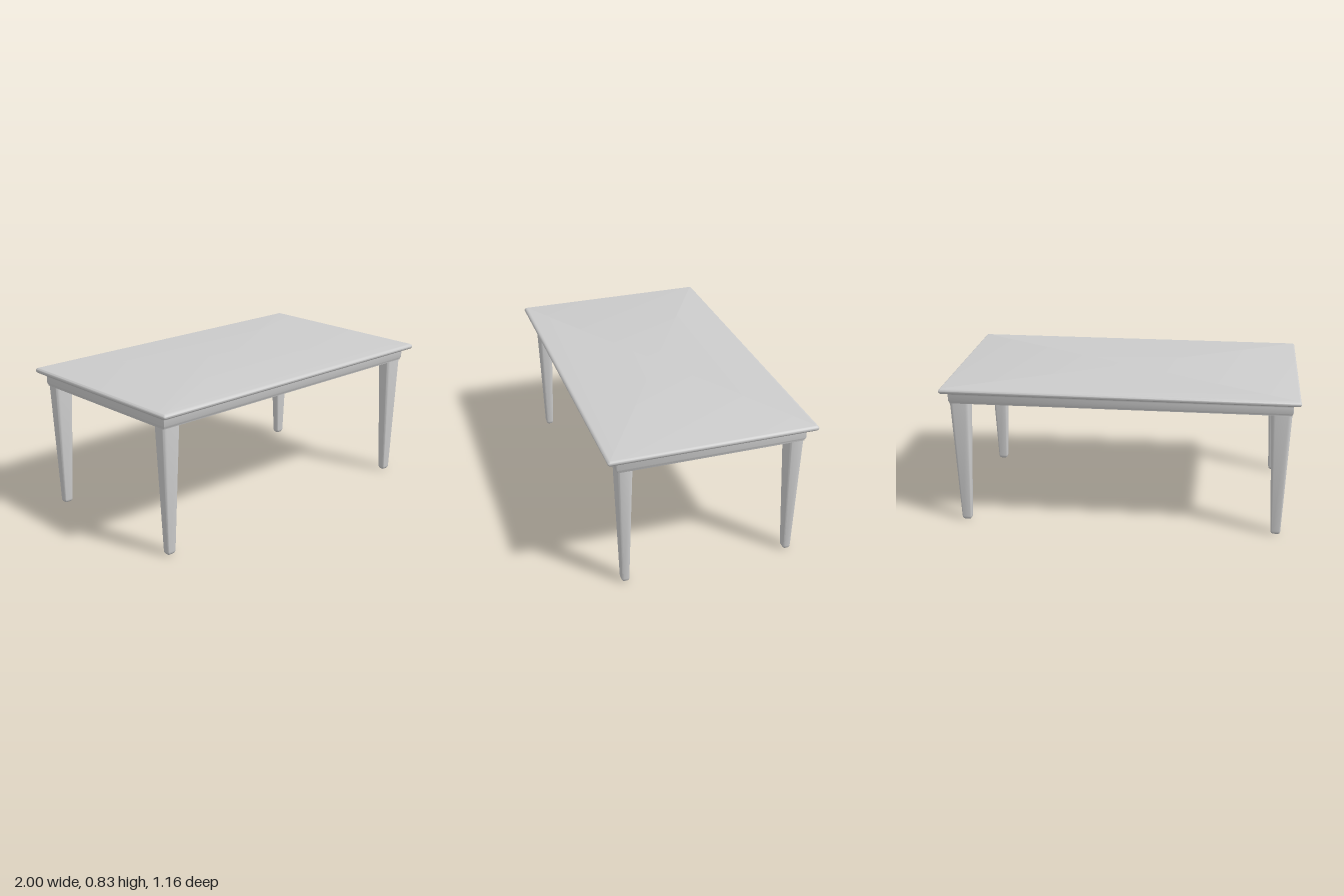
import * as THREE from 'three';
import { toCreasedNormals } from 'three/addons/utils/BufferGeometryUtils.js';

const material = new THREE.MeshStandardMaterial({ color: 0xcccccc });

// Rounded rectangle outline at height y; rx, rz are the corner radii
function ring(hx, hz, y, rx, rz, steps = 6) {
  const points = [];
  for (let q = 0; q < 4; q++) {
    const sx = q === 0 || q === 3 ? 1 : -1;
    const sz = q < 2 ? 1 : -1;
    for (let i = 0; i <= steps; i++) {
      const a = (q + i / steps) * Math.PI / 2;
      points.push([sx * (hx - rx) + rx * Math.cos(a), y, sz * (hz - rz) + rz * Math.sin(a)]);
    }
  }
  return points;
}

// Closed skin through rings listed from bottom to top, with flat caps
function loft(name, rings) {
  const n = rings[0].length;
  const last = rings.length - 1;
  const positions = [];
  const tri = (a, b, c) => positions.push(...a, ...b, ...c);
  for (let j = 0; j < n; j++) {
    const k = (j + 1) % n;
    for (let i = 0; i < last; i++) {
      tri(rings[i][j], rings[i + 1][j], rings[i][k]);
      tri(rings[i][k], rings[i + 1][j], rings[i + 1][k]);
    }
    tri([0, rings[0][0][1], 0], rings[0][j], rings[0][k]);
    tri([0, rings[last][0][1], 0], rings[last][k], rings[last][j]);
  }
  const geometry = new THREE.BufferGeometry();
  geometry.setAttribute('position', new THREE.Float32BufferAttribute(positions, 3));
  const mesh = new THREE.Mesh(toCreasedNormals(geometry, 0.7), material);
  mesh.name = name;
  return mesh;
}

// Table top with a bullnose edge
function makeTop() {
  const rings = [];
  for (let i = 0; i <= 12; i++) {
    const a = -Math.PI / 2 + Math.PI * i / 12;
    const inset = 1 - Math.cos(a);
    rings.push(ring(1 - 0.014 * inset, 0.58 - 0.02 * inset, 0.816 + 0.016 * Math.sin(a), 0.008, 0.008));
  }
  return loft('tableTop', rings);
}

// Solid apron: eased lower edge, straight face, cove flaring out under the top
function makeApron() {
  const profile = [[0.007, 0.73], [0.006, 0.737], [0.001, 0.744], [0, 0.748], [0, 0.78]];
  for (let i = 1; i <= 6; i++) {
    const a = i / 6 * Math.PI / 2;
    profile.push([-0.024 * (1 - Math.cos(a)), 0.78 + 0.022 * Math.sin(a)]);
  }
  return loft('apron', profile.map(([d, y]) => ring(0.962 - d * 0.7, 0.527 - d, y, 0.006, 0.006)));
}

// Tapered leg with softened corners and a rounded foot
function makeLeg() {
  const rings = [];
  const add = (hx, hz, y) => rings.push(ring(hx, hz, y, hx * 0.4, hz * 0.45));
  for (let i = 0; i <= 6; i++) {
    const a = i / 6 * Math.PI / 2;
    add(0.012 + 0.016 * Math.sin(a), 0.006 + 0.016 * Math.sin(a), 0.022 * (1 - Math.cos(a)));
  }
  add(0.057, 0.042, 0.725);
  add(0.056, 0.041, 0.735);
  return loft('leg', rings);
}

export function createModel() {
  const table = new THREE.Group();
  table.name = 'table';
  table.add(makeTop(), makeApron());
  for (const x of [-1, 1]) {
    for (const z of [-1, 1]) {
      const leg = makeLeg();
      leg.name = (z > 0 ? 'front' : 'back') + (x > 0 ? 'Left' : 'Right') + 'Leg';
      leg.position.set(x * 0.9, 0, z * 0.477);
      table.add(leg);
    }
  }
  return table;
}
